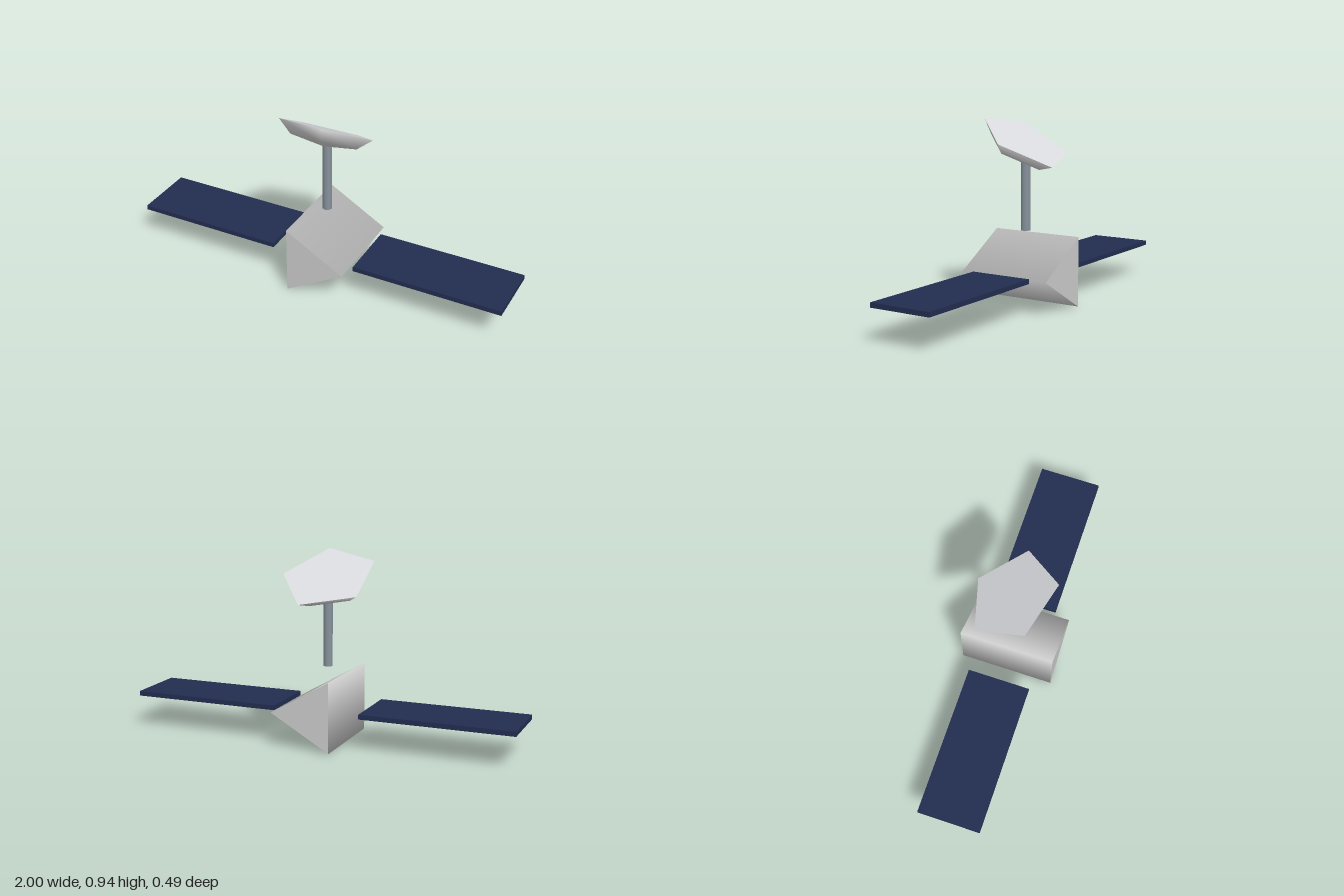
import * as THREE from 'three';

const material = (name, color) => {
  const m = new THREE.MeshStandardMaterial({ color });
  m.name = name;
  return m;
};

export function createModel() {
  const hull = material('hull grey', 0xcccccc);
  const steel = material('steel grey', 0x88929c);
  const navy = material('panel navy', 0x222d50);
  const pale = material('dish face pale grey', 0xd9dade);

  const model = new THREE.Group();
  model.name = 'satellite';
  const add = (name, geometry, mat, x, y, z, parent = model) => {
    const mesh = new THREE.Mesh(geometry, mat);
    mesh.name = name;
    mesh.position.set(x, y, z);
    parent.add(mesh);
    return mesh;
  };

  // Three-sided body lying along z, one edge towards +x
  const body = new THREE.CylinderGeometry(0.204, 0.204, 0.49, 3, 1, false, Math.PI / 2);
  body.rotateX(Math.PI / 2);
  add('body', body, hull, 0, 0.178, 0);

  // Solar panels floating either side of the body
  for (const side of [1, -1]) {
    add(side > 0 ? 'leftPanel' : 'rightPanel',
      new THREE.BoxGeometry(0.775, 0.024, 0.326), navy, side * 0.6125, 0.179, 0);
  }

  // Antenna mast
  add('mast', new THREE.CylinderGeometry(0.0245, 0.0245, 0.367, 8), steel, 0, 0.5645, 0);

  // Five-sided shallow dish, tilted back, closed by a flat face
  const dish = new THREE.Group();
  dish.name = 'dish';
  dish.position.set(0, 0.83, 0);
  dish.rotation.x = -Math.PI / 6;
  model.add(dish);

  const bowl = new THREE.SphereGeometry(0.243, 5, 2, Math.PI, Math.PI * 2, Math.PI / 2, Math.PI / 2);
  bowl.scale(1, 0.35, 1);
  add('dishBowl', bowl, hull, 0, 0, 0, dish);

  const face = new THREE.CircleGeometry(0.243, 5);
  face.rotateX(-Math.PI / 2);
  add('dishFace', face, pale, 0, 0, 0, dish);

  return model;
}
